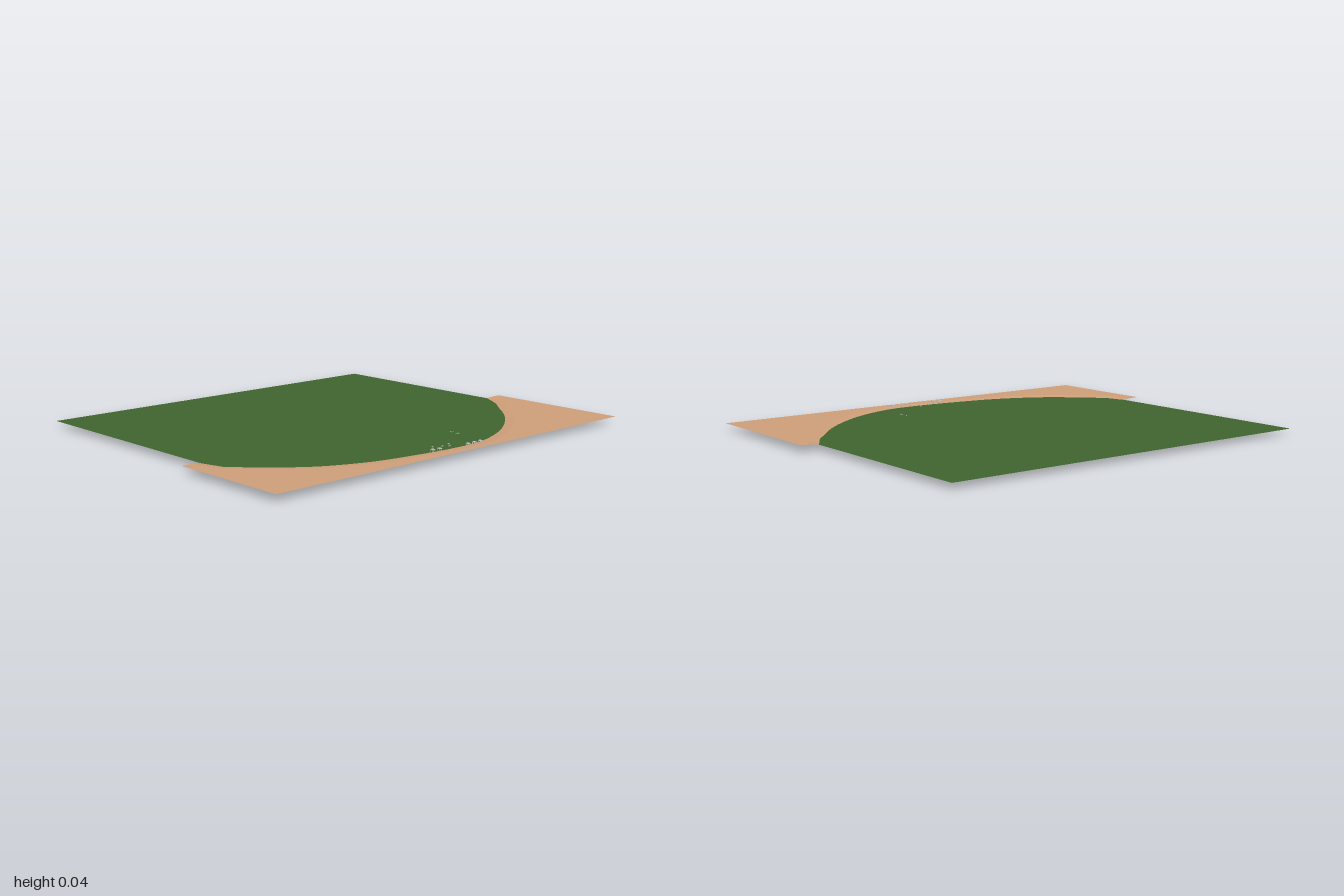
import * as THREE from 'three';

const WATER_Y = 0.026, SAND_Y = 0.031;

const material = (color) => new THREE.MeshStandardMaterial({ color, side: THREE.DoubleSide });

function addMesh(parent, name, geometry, mat) {
  const mesh = new THREE.Mesh(geometry, mat);
  mesh.name = name;
  parent.add(mesh);
  return mesh;
}

// Flat sheet from [x, z] corners, facing up at height y
function sheet(points, y) {
  const shape = new THREE.Shape(points.map(([x, z]) => new THREE.Vector2(x, -z)));
  return new THREE.ShapeGeometry(shape).rotateX(-Math.PI / 2).translate(0, y, 0);
}

// Sloping strip between two lines of [x, z] points
function strip(inner, outer, yInner, yOuter) {
  const position = [], index = [];
  inner.forEach(([x, z], i) => {
    position.push(x, yInner, z, outer[i][0], yOuter, outer[i][1]);
    if (i > 0) {
      const a = 2 * i - 2;
      index.push(a, a + 1, a + 2, a + 2, a + 1, a + 3);
    }
  });
  const geometry = new THREE.BufferGeometry();
  geometry.setAttribute('position', new THREE.Float32BufferAttribute(position, 3));
  geometry.setIndex(index);
  geometry.computeVertexNormals();
  return geometry;
}

// Half-submerged hull: lower half of a squashed sphere with pointed ends, plus a bench
function createBoat(mat) {
  const boat = new THREE.Group();
  boat.name = 'boat';
  const hull = new THREE.SphereGeometry(1, 16, 8, 0, Math.PI * 2, Math.PI / 2, Math.PI / 2);
  const p = hull.attributes.position;
  for (let i = 0; i < p.count; i++) {
    const z = p.getZ(i);
    p.setXYZ(i, p.getX(i) * 0.008 * (1 - 0.25 * z * z), p.getY(i) * 0.026 + 0.026 + 0.003 * z * z, z * 0.028);
  }
  hull.computeVertexNormals();
  addMesh(boat, 'hull', hull, mat);
  for (const z of [-0.01, 0.008]) {
    addMesh(boat, 'bench', new THREE.BoxGeometry(0.014, 0.001, 0.004), mat).position.set(0, 0.022, z);
  }
  boat.position.set(0.228, 0, 0.54);
  return boat;
}

// Small table: top on four legs
function createTable(x, z, size, mat) {
  const table = new THREE.Group();
  table.name = 'beachTable';
  const h = size * 0.7;
  addMesh(table, 'tableTop', new THREE.BoxGeometry(size, size * 0.15, size), mat).position.y = h;
  for (const sx of [-1, 1]) for (const sz of [-1, 1]) {
    addMesh(table, 'tableLeg', new THREE.BoxGeometry(size * 0.15, h, size * 0.15), mat)
      .position.set(sx * size * 0.4, h / 2, sz * size * 0.4);
  }
  table.position.set(x, SAND_Y - 0.001, z);
  return table;
}

export function createModel() {
  const model = new THREE.Group();
  const water = material(0x41652f), sand = material(0xd0a07a), grey = material(0xcccccc);

  // Shoreline, left to right as seen from above
  const curve = new THREE.CatmullRomCurve3([
    [-0.88, 0.355], [-0.8, 0.44], [-0.7, 0.53], [-0.6, 0.6], [-0.4, 0.68], [-0.2, 0.715],
    [-0.03, 0.733], [0.16, 0.73], [0.3, 0.69], [0.45, 0.615], [0.6, 0.505], [0.7, 0.41],
    [0.78, 0.315], [0.85, 0.235], [0.92, 0.12],
  ].map(([x, z]) => new THREE.Vector3(x, 0, z)));
  const shore = [[-0.908, 0.25], ...curve.getSpacedPoints(48).map((v) => [v.x, v.z])];

  // Top of the bank, set back from the shoreline
  const crest = shore.map(([x, z], i) => {
    const a = shore[Math.max(i - 1, 0)], b = shore[Math.min(i + 1, shore.length - 1)];
    const length = Math.hypot(b[0] - a[0], b[1] - a[1]);
    return [x - (b[1] - a[1]) / length * 0.045, z + (b[0] - a[0]) / length * 0.045];
  });
  crest[0] = [-0.95, 0.253];
  crest[crest.length - 1] = [0.97, 0.125];

  addMesh(model, 'water', sheet([...shore, [0.92, -0.82], [-0.908, -0.82]], WATER_Y), water);
  addMesh(model, 'beachBank', strip(shore, crest, WATER_Y, SAND_Y), sand);
  addMesh(model, 'beach', sheet([...crest, [1, 0.128], [1, 0.815], [-1, 0.815], [-1, 0.255]], SAND_Y), sand);

  model.add(createBoat(grey));

  // Furniture on the sand
  for (const [x, z] of [[0.073, 0.755], [0.112, 0.755], [0.15, 0.753], [-0.113, 0.733], [-0.08, 0.74]]) {
    model.add(createTable(x, z, 0.014, grey));
  }
  // Small stools scattered along the water's edge
  const stools = [[-0.06, 0.68], [-0.02, 0.7], [0.005, 0.715], [-0.065, 0.715], [0.03, 0.685],
    [-0.062, 0.786], [0.015, 0.788]];
  for (const [x, z] of stools) model.add(createTable(x, z, 0.006, grey));

  return model;
}
